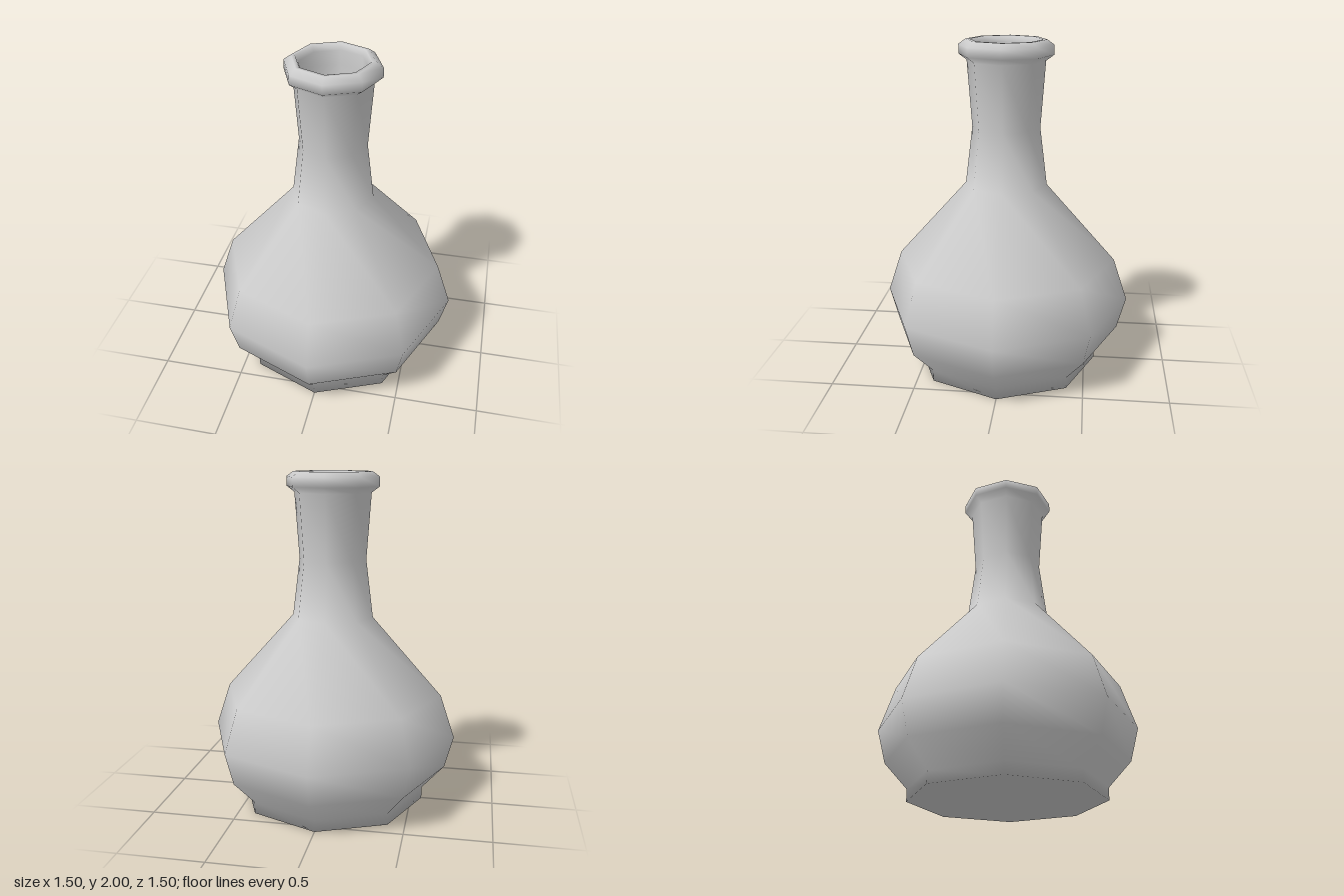
import * as THREE from 'three';
import { mergeVertices } from 'three/addons/utils/BufferGeometryUtils.js';

const SIDES = 8;

// Eight-sided turned shape with normals smoothed over every edge
function turned(profile) {
  const points = profile.map(([r, y]) => new THREE.Vector2(r, y));
  const lathe = new THREE.LatheGeometry(points, SIDES);
  lathe.deleteAttribute('uv');
  lathe.deleteAttribute('normal');
  const geometry = mergeVertices(lathe, 1e-4);
  geometry.computeVertexNormals();
  return geometry;
}

export function createModel() {
  const group = new THREE.Group();
  group.name = 'flask';

  const profile = [
    // base
    [0, 0], [0.565, 0], [0.565, 0.07],
    // round body
    [0.70, 0.22], [0.752, 0.415], [0.665, 0.675],
    // neck
    [0.245, 1.145], [0.202, 1.49], [0.23, 1.88],
    // rolled lip
    [0.277, 1.915], [0.277, 1.97], [0.235, 2.0], [0.212, 2.0], [0.196, 1.965],
    // hollow inside the neck
    [0.195, 1.88], [0.17, 1.49], [0, 1.45],
  ];

  const material = new THREE.MeshStandardMaterial({ color: 0xcccccc });
  const bottle = new THREE.Mesh(turned(profile), material);
  bottle.name = 'bottle';
  group.add(bottle);
  return group;
}
